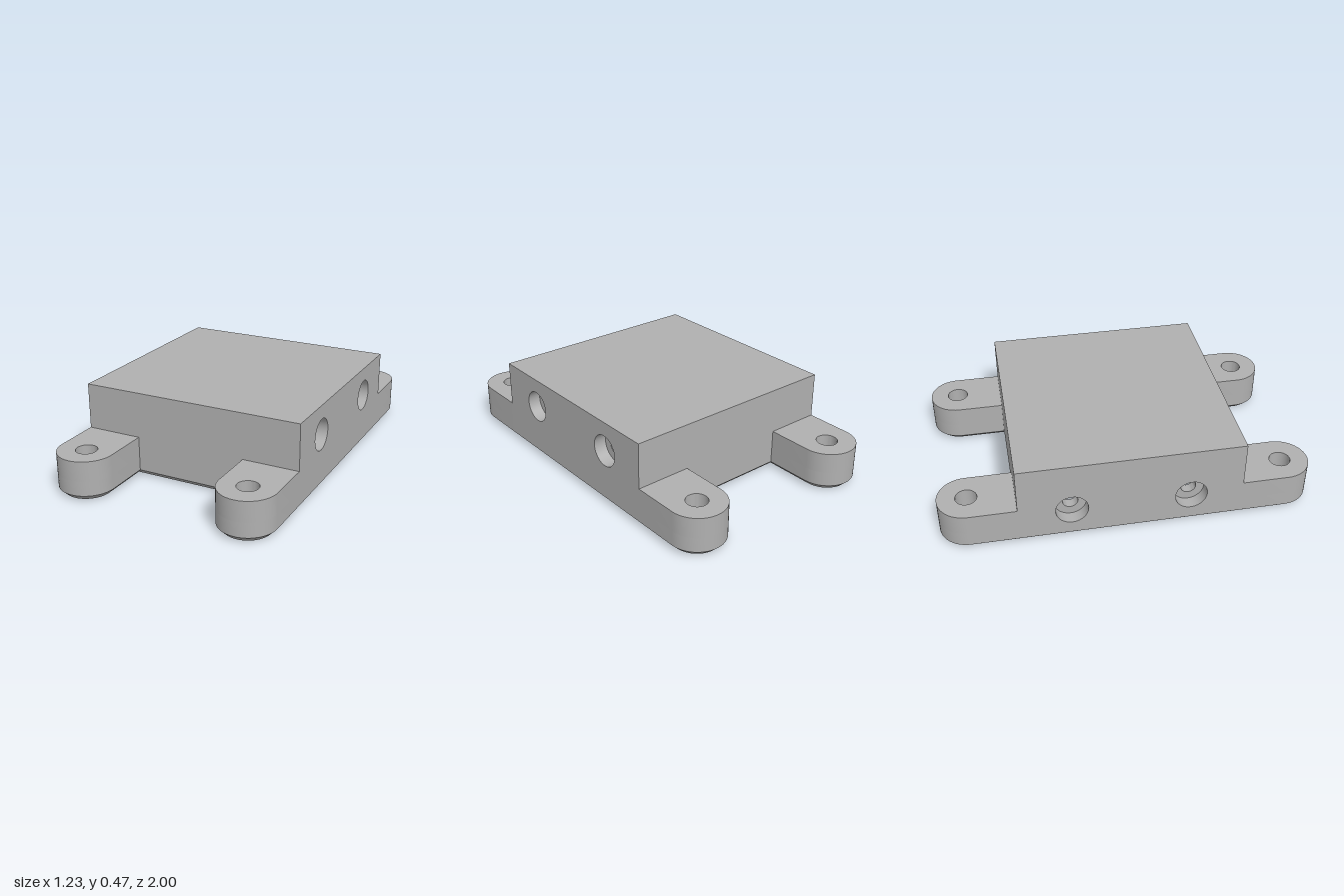
import * as THREE from 'three';
import { toCreasedNormals } from 'three/addons/utils/BufferGeometryUtils.js';

const W = 0.615, D = 0.597, H = 0.47;          // body half width, half depth, height
const PX = 0.49, PZ = 0.48, PY = 0.377;        // pocket half width, half depth, ceiling
const LX = 0.461, LZ = 0.847, LR = 0.154, LH = 0.22; // lug centre, radius, height
const CH = 0.03;                               // bottom chamfer
const BOLT = 0.057, BORE = 0.08, BORE_H = 0.11; // lug hole and its wider lower part

const V = (x, y) => new THREE.Vector2(x, y);

function circle(cx, cy, r, n = 40) {
  return Array.from({ length: n }, (_, i) => {
    const a = (i / n) * Math.PI * 2;
    return V(cx + r * Math.cos(a), cy + r * Math.sin(a));
  });
}

function shapeOf(points, holes = []) {
  const s = new THREE.Shape(points);
  s.holes = holes.map(h => new THREE.Path(h));
  return s;
}

// Footprint (x, z) of body and four lugs, shrunk by an inset
function outline(inset) {
  const q = [V(LX - LR + inset, D - inset)];
  for (let i = 0; i <= 24; i++) {
    const a = Math.PI * (1 - i / 24);
    q.push(V(LX + (LR - inset) * Math.cos(a), LZ + (LR - inset) * Math.sin(a)));
  }
  const part = (sx, sz) => q.map(p => V(p.x * sx, p.y * sz));
  return [...part(1, 1), ...part(1, -1).reverse(), ...part(-1, -1), ...part(-1, 1).reverse()];
}

// Closed band between two rings of (x, z) points
function band(a, ya, b, yb) {
  const pos = [];
  a.forEach((p, i) => {
    const j = (i + 1) % a.length;
    const A = [p.x, ya, p.y], B = [a[j].x, ya, a[j].y];
    const C = [b[j].x, yb, b[j].y], E = [b[i].x, yb, b[i].y];
    pos.push(...A, ...B, ...C, ...A, ...C, ...E);
  });
  const g = new THREE.BufferGeometry();
  g.setAttribute('position', new THREE.Float32BufferAttribute(pos, 3));
  g.computeVertexNormals();
  return toCreasedNormals(g, 0.5);
}

// Extrude an (x, z) shape between two heights
function slabY(shape, y0, y1) {
  const g = new THREE.ExtrudeGeometry(shape, { depth: y1 - y0, bevelEnabled: false });
  g.rotateX(Math.PI / 2).translate(0, y1, 0);
  return toCreasedNormals(g, 0.5);
}

// Extrude a (z, y) shape between two x positions
function slabX(shape, x0, x1) {
  const g = new THREE.ExtrudeGeometry(shape, { depth: x1 - x0, bevelEnabled: false });
  g.rotateY(Math.PI / 2).translate(x0, 0, 0);
  return toCreasedNormals(g, 0.5);
}

export function createModel() {
  const model = new THREE.Group();
  model.name = 'mountingBracket';
  const grey = new THREE.MeshStandardMaterial({ color: 0xb0b0b0, side: THREE.DoubleSide });
  grey.name = 'grey';
  const add = (name, geometry) => {
    const m = new THREE.Mesh(geometry, grey);
    m.name = name;
    model.add(m);
    return m;
  };
  const box = (name, w, h, d, x, y, z) =>
    add(name, new THREE.BoxGeometry(w, h, d).translate(x, y, z));

  // Chamfered foot with pocket opening and lug bores
  const slotR = 0.545, slotRZ = 0.28, slotL = 0.526, slotLZ = 0.22;
  const pocket = [
    V(PX, PZ), V(PX, slotRZ), V(slotR, slotRZ), V(slotR, -slotRZ), V(PX, -slotRZ), V(PX, -PZ),
    V(-PX, -PZ), V(-PX, -slotLZ), V(-slotL, -slotLZ), V(-slotL, slotLZ), V(-PX, slotLZ), V(-PX, PZ),
  ];
  const bores = [];
  for (const sx of [1, -1]) for (const sz of [1, -1]) bores.push(circle(sx * LX, sz * LZ, BORE));
  add('chamfer', band(outline(0), CH, outline(CH), 0));
  const under = new THREE.ShapeGeometry(shapeOf(outline(CH), [pocket, ...bores]));
  add('underside', under.rotateX(Math.PI / 2));
  add('pocketRim', band(pocket, 0, pocket, CH));
  bores.forEach(b => add('boreRim', band(b, 0, b, CH)));

  // Rounded lugs, each with a hole that widens below
  for (const sx of [1, -1]) for (const sz of [1, -1]) {
    const pts = [V(sx * (LX - LR), sz * D)];
    for (let i = 0; i <= 24; i++) {
      const a = Math.PI * (1 - i / 24);
      pts.push(V(sx * (LX + LR * Math.cos(a)), sz * (LZ + LR * Math.sin(a))));
    }
    pts.push(V(sx * W, sz * D));
    const hole = r => [circle(sx * LX, sz * LZ, r)];
    add('lugLower', slabY(shapeOf(pts, hole(BORE)), CH, BORE_H));
    add('lugUpper', slabY(shapeOf(pts, hole(BOLT)), BORE_H, LH));
  }

  // Roof and end walls around the pocket
  box('roof', 2 * PX, H - PY, 2 * D, 0, (H + PY) / 2, 0);
  for (const s of [1, -1])
    box('endWall', 2 * PX, PY - CH, D - PZ, 0, (PY + CH) / 2, s * (D + PZ) / 2);

  // Side walls in layers: counterbored holes outside, slots inside
  const wall = (holeY, r, notchZ = 0, notchTop = 0) => {
    const pts = [V(-D, CH)];
    if (notchZ) pts.push(V(-notchZ, CH), V(-notchZ, notchTop), V(notchZ, notchTop), V(notchZ, CH));
    pts.push(V(D, CH), V(D, H), V(-D, H));
    return shapeOf(pts, [-0.316, 0.316].map(z => circle(z, holeY, r)));
  };
  const big = 0.086, small = 0.041, leftY = 0.307, rightY = 0.184;
  add('leftWallOuter', slabX(wall(leftY, big), slotR, W));
  add('leftWallInner', slabX(wall(leftY, small, slotRZ, 0.2), PX, slotR));
  add('rightWallOuter', slabX(wall(rightY, big), -W, -slotR));
  add('rightWallMiddle', slabX(wall(rightY, small), -slotR, -slotL));
  add('rightWallInner', slabX(wall(rightY, small, slotLZ, PY), -slotL, -PX));

  return model;
}
